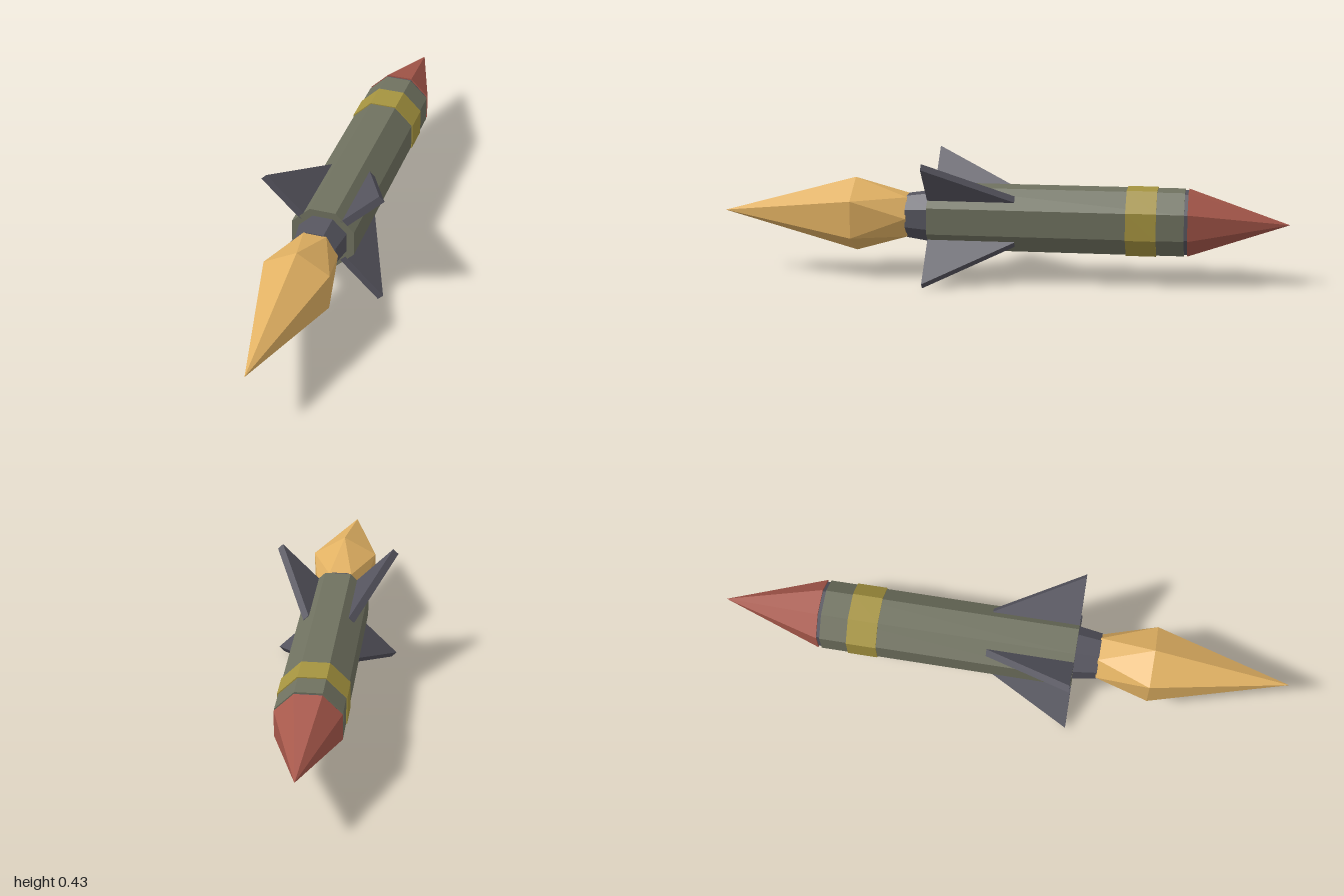
import * as THREE from 'three';

const AXIS = 0.218; // height of the long axis

function material(name, color) {
  const m = new THREE.MeshStandardMaterial({ color, flatShading: true });
  m.name = name;
  return m;
}

// Eight-sided section along z, flat side up; radii are corner radii
function section(name, mat, zBack, rBack, zFront, rFront) {
  const g = new THREE.CylinderGeometry(rFront, rBack, zFront - zBack, 8);
  g.rotateY(Math.PI / 8).rotateX(Math.PI / 2).translate(0, 0, (zFront + zBack) / 2);
  const mesh = new THREE.Mesh(g, mat);
  mesh.name = name;
  return mesh;
}

// Six-sided flame: small rear ring, wide ring turned half a step, pointed tip
function flameGeometry() {
  const pos = [];
  const ring = (r, z, start) => (i) => {
    const a = start + i * Math.PI / 3;
    return [r * Math.cos(a), r * Math.sin(a), z];
  };
  const rear = ring(0.081, 0.33, 0);
  const wide = ring(0.132, 0.52, Math.PI / 6 - 0.022);
  const tri = (...corners) => corners.forEach((c) => pos.push(...c));
  for (let i = 0; i < 6; i++) {
    tri(wide(i), wide(i + 1), [0, 0, 1]);
    tri(rear(i), rear(i + 1), wide(i));
    tri(rear(i + 1), wide(i + 1), wide(i));
    tri(rear(i + 1), rear(i), [0, 0, 0.33]);
  }
  const g = new THREE.BufferGeometry();
  g.setAttribute('position', new THREE.Float32BufferAttribute(pos, 3));
  g.computeVertexNormals();
  return g;
}

// Triangular fin plate reaching out along +x, with its straight edge at the front
function finGeometry() {
  const shape = new THREE.Shape();
  shape.moveTo(0.1, -0.25);
  shape.lineTo(0.294, -0.25);
  shape.lineTo(0.113, 0.055);
  shape.lineTo(0.1, 0.055);
  shape.closePath();
  const g = new THREE.ExtrudeGeometry(shape, { depth: 0.026, bevelEnabled: false });
  return g.translate(0, 0, -0.013).rotateX(-Math.PI / 2);
}

export function createModel() {
  const olive = material('olive body', 0x6f715f);
  const red = material('red nose', 0xa6574a);
  const yellow = material('yellow band', 0xa5933f);
  const grey = material('dark grey metal', 0x55545e);
  const orange = material('flame orange', 0xe0b062);

  const model = new THREE.Group();
  model.name = 'rocket';
  const rocket = new THREE.Group();
  rocket.name = 'rocketBody';
  rocket.position.y = AXIS;
  model.add(rocket);

  // Hull, nose and rings
  rocket.add(
    section('hull', olive, -0.64, 0.12, 0.25, 0.12),
    section('band', yellow, -0.545, 0.124, -0.44, 0.124),
    section('noseCollar', grey, -0.655, 0.114, -0.63, 0.114),
    section('nose', red, -1, 0, -0.652, 0.12),
    section('nozzle', grey, 0.24, 0.094, 0.333, 0.08),
  );

  // Exhaust flame
  const flame = new THREE.Mesh(flameGeometry(), orange);
  flame.name = 'flame';
  rocket.add(flame);

  // Four diagonal fins
  const finShape = finGeometry();
  for (let i = 0; i < 4; i++) {
    const fin = new THREE.Mesh(finShape, grey);
    fin.name = 'fin' + (i + 1);
    fin.rotation.z = Math.PI / 4 + i * Math.PI / 2;
    rocket.add(fin);
  }
  return model;
}
